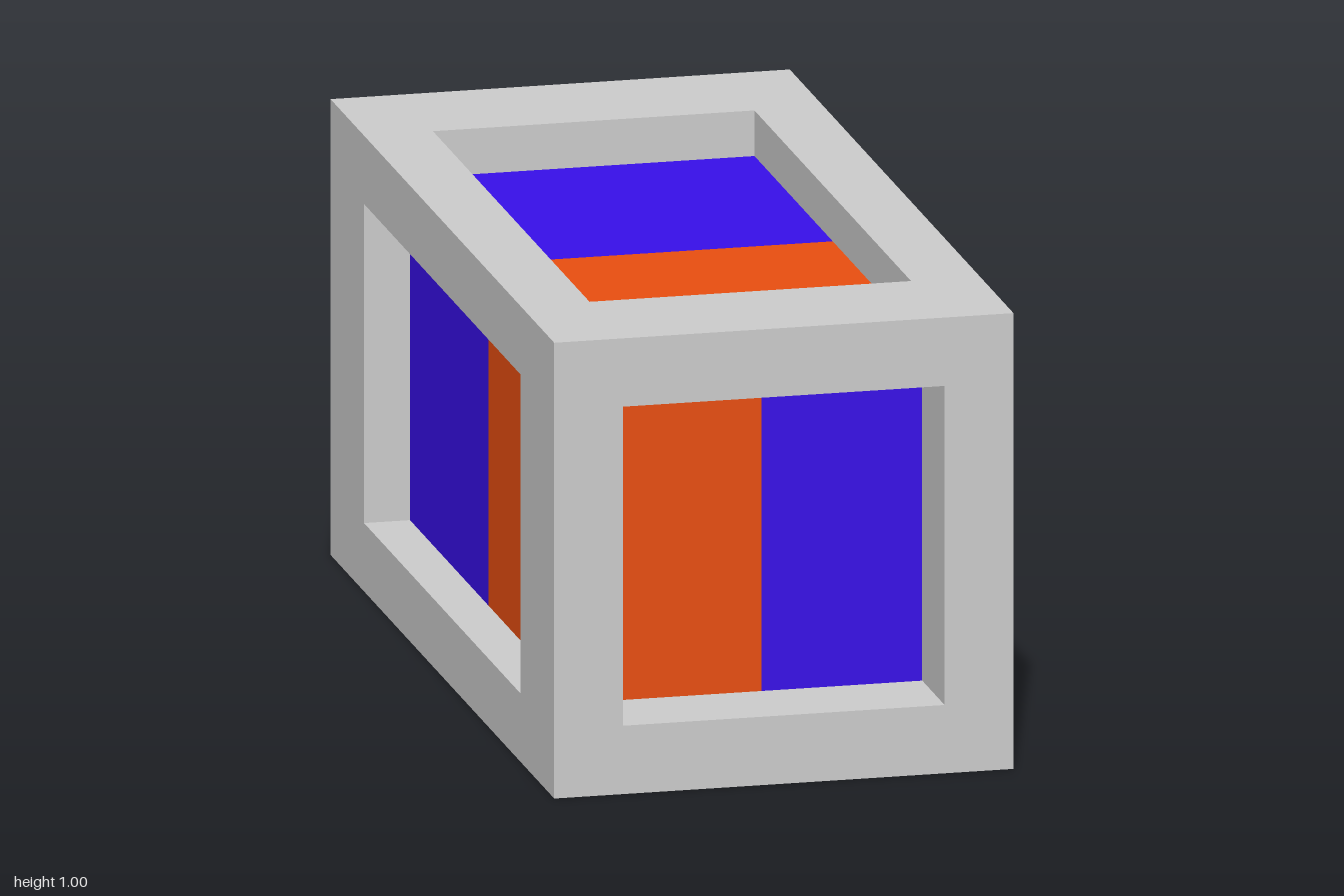
import * as THREE from 'three';
import { mergeGeometries } from 'three/addons/utils/BufferGeometryUtils.js';

const HALF = 0.5;   // half of the unit cube
const OPEN = 0.35;  // half of each window opening
const FLOOR = 0.4;  // distance of the sunken panels from the centre
const Q = Math.PI / 2;

// Turn of each face from +z; before turning, the orange half lies on -x
const FACES = [
  { name: 'front', turn: [0, 0, 0] },
  { name: 'right', turn: [0, Q, 0] },
  { name: 'back', turn: [0, 2 * Q, 0] },
  { name: 'left', turn: [0, -Q, 2 * Q] },
  { name: 'top', turn: [-Q, 0, Q] },
  { name: 'bottom', turn: [Q, 0, 0], plain: true },
];

function square(r, Type) {
  return new Type([[-r, -r], [r, -r], [r, r], [-r, r]].map(([x, y]) => new THREE.Vector2(x, y)));
}

// Flat border with a square window and the four inward walls of the recess
function borderGeometry() {
  const shape = square(HALF, THREE.Shape);
  shape.holes.push(square(OPEN, THREE.Path));
  const parts = [new THREE.ShapeGeometry(shape).translate(0, 0, HALF)];
  for (let i = 0; i < 4; i++) {
    parts.push(new THREE.PlaneGeometry(2 * OPEN, HALF - FLOOR)
      .rotateX(Q).translate(0, OPEN, (HALF + FLOOR) / 2).rotateZ(i * Q));
  }
  return mergeGeometries(parts);
}

// Sunken panel covering part of the window
function panelGeometry(width, x) {
  return new THREE.PlaneGeometry(width, 2 * OPEN).translate(x, 0, FLOOR);
}

export function createModel() {
  const model = new THREE.Group();
  model.name = 'windowedBlock';
  const grey = new THREE.MeshStandardMaterial({ color: 0xcccccc });
  const orange = new THREE.MeshStandardMaterial({ color: 0xe84e10 });
  const blue = new THREE.MeshStandardMaterial({ color: 0x380fe8 });

  const add = (name, geometry, material) => {
    const mesh = new THREE.Mesh(geometry, material);
    mesh.name = name;
    model.add(mesh);
  };

  const frame = [];
  for (const { name, turn, plain } of FACES) {
    // Turn the face into place, stand it on the ground and stretch the cube to length 2
    const place = new THREE.Matrix4().makeTranslation(0, HALF, 0)
      .multiply(new THREE.Matrix4().makeScale(1, 1, 2))
      .multiply(new THREE.Matrix4().makeRotationFromEuler(new THREE.Euler(...turn)));

    frame.push(borderGeometry().applyMatrix4(place));
    if (plain) {
      add(name + 'Panel', panelGeometry(2 * OPEN, 0).applyMatrix4(place), grey);
    } else {
      add(name + 'OrangePanel', panelGeometry(OPEN, -OPEN / 2).applyMatrix4(place), orange);
      add(name + 'BluePanel', panelGeometry(OPEN, OPEN / 2).applyMatrix4(place), blue);
    }
  }
  add('frame', mergeGeometries(frame), grey);
  return model;
}
